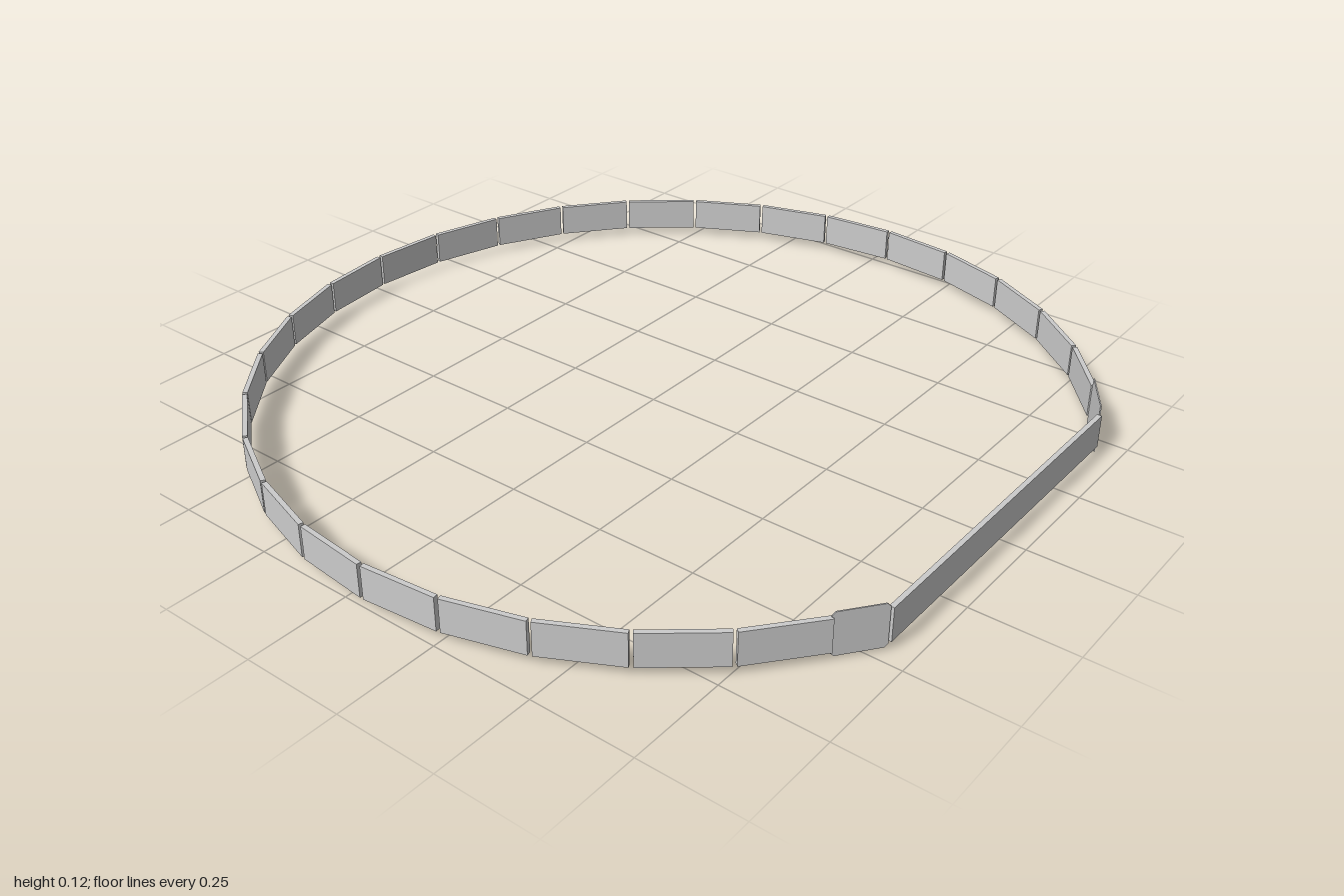
import * as THREE from 'three';

const MID_Y = 0.0615;      // mid height of the band
const BAND_H = 0.082;
const BAND_T = 0.012;
const CENTRE_Z = 0.05;     // centre of the 32-sided ring
const APOTHEM = 0.99;
const STEP = Math.PI / 16;
const GAP = 0.008;

const material = new THREE.MeshStandardMaterial({ color: 0xcccccc, flatShading: true });

function addMesh(parent, geometry, name) {
  const mesh = new THREE.Mesh(geometry, material);
  mesh.name = name;
  parent.add(mesh);
  return mesh;
}

// Thin upright plate spanning two points seen from above, with clipped corners
function addPlate(parent, [x0, z0], [x1, z1], height, clip, name) {
  const w = Math.hypot(x1 - x0, z1 - z0) / 2, h = height / 2, t = 0.003;
  const shape = new THREE.Shape([
    [-w + clip, -h], [w - clip, -h], [w, -h + clip], [w, h - clip],
    [w - clip, h], [-w + clip, h], [-w, h - clip], [-w, -h + clip],
  ].map(([x, y]) => new THREE.Vector2(x, y)));
  const geometry = new THREE.ExtrudeGeometry(shape, { depth: t, bevelEnabled: false });
  geometry.translate(0, 0, -t / 2);
  const plate = addMesh(parent, geometry, name);
  plate.position.set((x0 + x1) / 2, MID_Y, (z0 + z1) / 2);
  plate.rotation.y = -Math.atan2(z1 - z0, x1 - x0);
}

export function createModel() {
  const model = new THREE.Group();
  model.name = 'segmentedBand';

  // Ring of flat links, 13 on each side of the back centre
  const ring = new THREE.Group();
  ring.name = 'ringLinks';
  model.add(ring);
  const linkLength = 2 * APOTHEM * Math.tan(STEP / 2) - GAP;
  const link = new THREE.BoxGeometry(linkLength, BAND_H, BAND_T);
  for (let i = -13; i < 13; i++) {
    const a = (i + 0.5) * STEP;
    const mesh = addMesh(ring, link, 'link');
    mesh.position.set(APOTHEM * Math.sin(a), MID_Y, CENTRE_Z - APOTHEM * Math.cos(a));
    mesh.rotation.y = -a;
  }

  // Straight bar across the front
  const bar = addMesh(model, new THREE.BoxGeometry(0.9, BAND_H, BAND_T), 'frontBar');
  bar.position.set(-0.01, MID_Y, 0.944);

  // Thin plates joining the bar to the ring
  addPlate(model, [0.446, 0.942], [0.554, 0.874], 0.122, 0, 'largeJoiningPlate');
  addPlate(model, [-0.558, 0.872], [-0.463, 0.944], 0.106, 0.008, 'smallJoiningPlate');

  return model;
}
